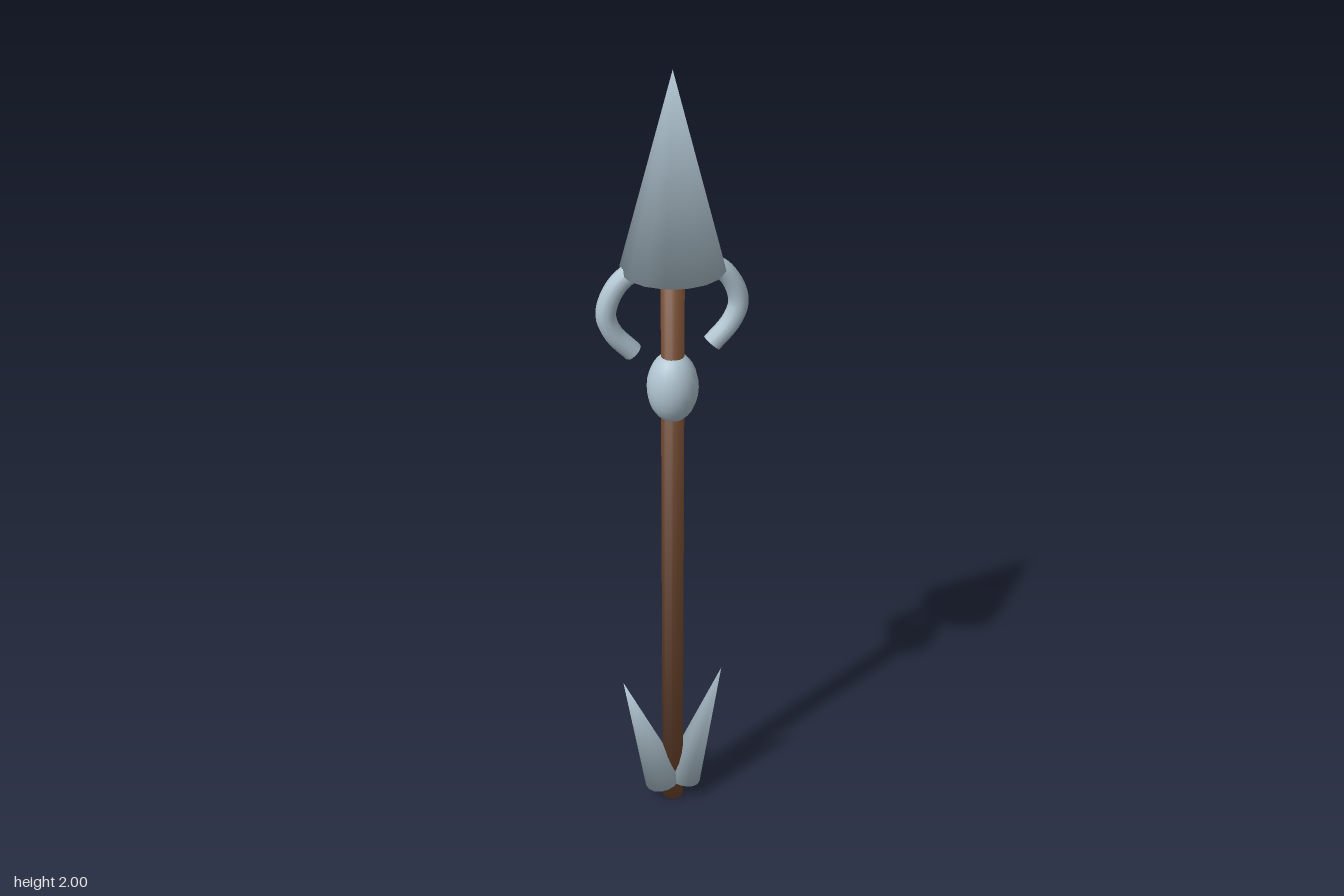
import * as THREE from 'three';
import { mergeVertices } from 'three/addons/utils/BufferGeometryUtils.js';

// Weld every corner and give it one angle-weighted normal, so shading rolls over the rims
function weld(geometry) {
  geometry.deleteAttribute('uv');
  geometry.deleteAttribute('normal');
  const g = mergeVertices(geometry, 1e-5);
  const pos = g.attributes.position;
  const sums = Array.from({ length: pos.count }, () => new THREE.Vector3());
  const tri = new THREE.Triangle();
  const n = new THREE.Vector3();
  for (let i = 0; i < g.index.count; i += 3) {
    const ids = [0, 1, 2].map((k) => g.index.getX(i + k));
    tri.setFromAttributeAndIndices(pos, ...ids);
    tri.getNormal(n);
    const p = [tri.a, tri.b, tri.c];
    ids.forEach((id, k) => {
      const u = p[(k + 1) % 3].clone().sub(p[k]);
      const v = p[(k + 2) % 3].clone().sub(p[k]);
      sums[id].addScaledVector(n, u.angleTo(v));
    });
  }
  const normals = sums.flatMap((s) => s.normalize().toArray());
  g.setAttribute('normal', new THREE.Float32BufferAttribute(normals, 3));
  return g;
}

export function createModel() {
  const model = new THREE.Group();
  model.name = 'spear';

  const steel = new THREE.MeshStandardMaterial({ color: 0xb0c4d0 });
  steel.name = 'pale steel';
  const wood = new THREE.MeshStandardMaterial({ color: 0x754b30 });
  wood.name = 'brown wood';

  function add(name, geometry, material, x = 0, y = 0, parent = model) {
    const mesh = new THREE.Mesh(geometry, material);
    mesh.name = name;
    mesh.position.set(x, y, 0);
    parent.add(mesh);
    return mesh;
  }

  // Shaft, running up into the head
  const shaftLength = 1.6;
  add('shaft', weld(new THREE.CylinderGeometry(0.028, 0.028, shaftLength, 16)), wood, 0, shaftLength / 2);

  // Pointed head with a ring set into its base
  const headBase = 1.543;
  const headHeight = 2 - headBase;
  add('head', weld(new THREE.ConeGeometry(0.123, headHeight, 16)), steel, 0, headBase + headHeight / 2);
  const ring = add('headRing', new THREE.TorusGeometry(0.09, 0.02, 8, 24), steel, 0, 1.553);
  ring.rotation.x = Math.PI / 2;

  // Egg-shaped knob on the shaft
  const knob = new THREE.SphereGeometry(1, 20, 14);
  knob.scale(0.062, 0.09, 0.062);
  add('knob', knob, steel, 0, 1.243);

  const hookPath = [[0.08, 1.552], [0.122, 1.525], [0.15, 1.482], [0.158, 1.44], [0.14, 1.395], [0.095, 1.345]];
  const tilt = 0.303;

  for (const [side, s] of [['left', 1], ['right', -1]]) {
    // Curled hook under the head, closed at both ends
    const hook = new THREE.Group();
    hook.name = side + 'Hook';
    model.add(hook);
    const curve = new THREE.CatmullRomCurve3(hookPath.map(([x, y]) => new THREE.Vector3(s * x, y, 0)));
    add(side + 'HookBar', new THREE.TubeGeometry(curve, 24, 0.024, 10), steel, 0, 0, hook);
    for (const t of [0, 1]) {
      const end = curve.getPoint(t);
      const outward = curve.getTangent(t).multiplyScalar(t ? 1 : -1);
      const cap = add(side + 'HookEnd', new THREE.CircleGeometry(0.024, 10), steel, end.x, end.y, hook);
      cap.lookAt(end.clone().add(outward));
    }

    // Barb at the foot, leaning outward
    const barbHeight = 0.358;
    const barb = add(side + 'Barb', weld(new THREE.ConeGeometry(0.051, barbHeight, 16)), steel,
      s * (0.026 + Math.sin(tilt) * barbHeight / 2), 0.055 + Math.cos(tilt) * barbHeight / 2);
    barb.rotation.z = -s * tilt;
  }

  return model;
}
